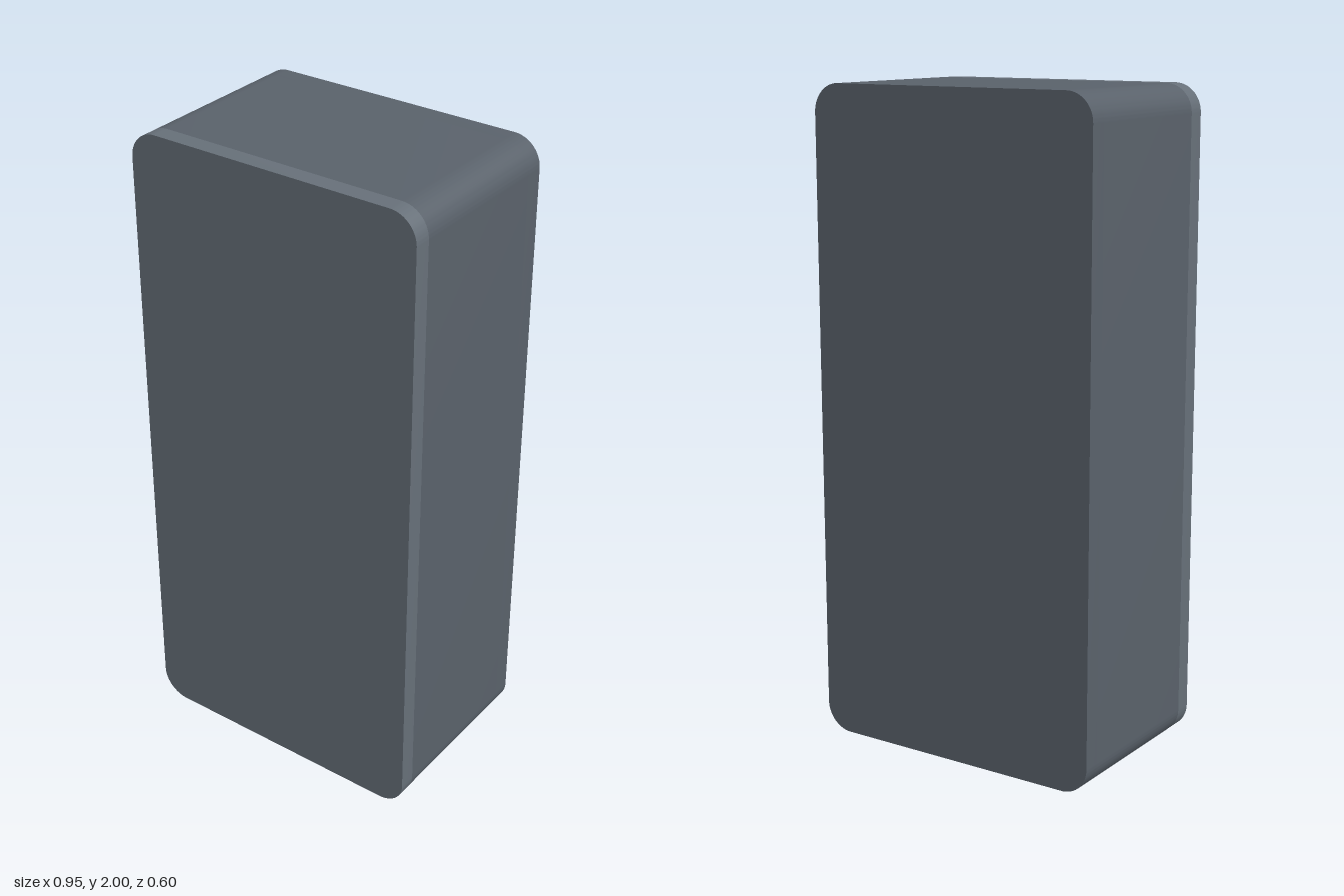
import * as THREE from 'three';
import { toCreasedNormals } from 'three/addons/utils/BufferGeometryUtils.js';

const W = 0.475, H = 2, R = 0.085;      // half width, height, corner radius
const T = 0.057;                        // wall thickness
const BACK = -0.3, SEAM = 0.245, FRONT = 0.3;

// Rounded rectangle of the case outline, inset by d
function outline(d, Type = THREE.Shape) {
  const r = Math.max(R - d, 0.02), x = W - d, y0 = d, y1 = H - d;
  const s = new Type();
  s.moveTo(-x + r, y0);
  s.lineTo(x - r, y0);
  s.absarc(x - r, y0 + r, r, -Math.PI / 2, 0);
  s.absarc(x - r, y1 - r, r, 0, Math.PI / 2);
  s.absarc(-x + r, y1 - r, r, Math.PI / 2, Math.PI);
  s.absarc(-x + r, y0 + r, r, Math.PI, Math.PI * 1.5);
  return s;
}

function extrude(shape, z0, z1) {
  const g = new THREE.ExtrudeGeometry(shape, { depth: z1 - z0, bevelEnabled: false, curveSegments: 12 });
  return toCreasedNormals(g.translate(0, 0, z0), 0.5);
}

// Side and top walls, open along the straight part of the bottom
function wallShape() {
  const c = W - R, ri = R - T, s = new THREE.Shape();
  s.moveTo(c, 0);
  s.absarc(c, R, R, -Math.PI / 2, 0);
  s.absarc(c, H - R, R, 0, Math.PI / 2);
  s.absarc(-c, H - R, R, Math.PI / 2, Math.PI);
  s.absarc(-c, R, R, Math.PI, Math.PI * 1.5);
  s.lineTo(-c, T);
  s.absarc(-c, R, ri, Math.PI * 1.5, Math.PI, true);
  s.absarc(-c, H - R, ri, Math.PI, Math.PI / 2, true);
  s.absarc(c, H - R, ri, Math.PI / 2, 0, true);
  s.absarc(c, R, ri, 0, -Math.PI / 2, true);
  s.lineTo(c, 0);
  return s;
}

function rect(Type, x0, x1, y0, y1) {
  return new Type([[x0, y0], [x1, y0], [x1, y1], [x0, y1]].map(p => new THREE.Vector2(...p)));
}

export function createModel() {
  const model = new THREE.Group();
  model.name = 'enclosure';
  const bodyMat = new THREE.MeshStandardMaterial({ color: 0x59616a });
  const lidMat = new THREE.MeshStandardMaterial({ color: 0x666f78 });
  const add = (parent, name, geometry, material) => {
    const m = new THREE.Mesh(geometry, material);
    m.name = name;
    parent.add(m);
  };

  // Hollow body
  const body = new THREE.Group();
  body.name = 'body';
  model.add(body);
  add(body, 'backPanel', extrude(outline(0), BACK, BACK + T), bodyMat);
  add(body, 'walls', extrude(wallShape(), BACK + T, SEAM), bodyMat);

  // Bottom wall with the connector slot
  const floor = rect(THREE.Shape, -(W - R), W - R, -SEAM, -(BACK + T));
  floor.holes.push(rect(THREE.Path, -0.225, 0.225, -0.055, 0.115));
  const floorGeo = extrude(floor, 0, T).rotateX(-Math.PI / 2);
  add(body, 'slottedBottom', floorGeo, bodyMat);

  // Front lid with a locating lip inside the walls
  const lid = new THREE.Group();
  lid.name = 'lid';
  model.add(lid);
  add(lid, 'frontPanel', extrude(outline(0), SEAM, FRONT), lidMat);
  const lip = outline(T + 0.003);
  lip.holes.push(outline(T + 0.055, THREE.Path));
  add(lid, 'lidLip', extrude(lip, SEAM - 0.055, SEAM), lidMat);

  return model;
}
